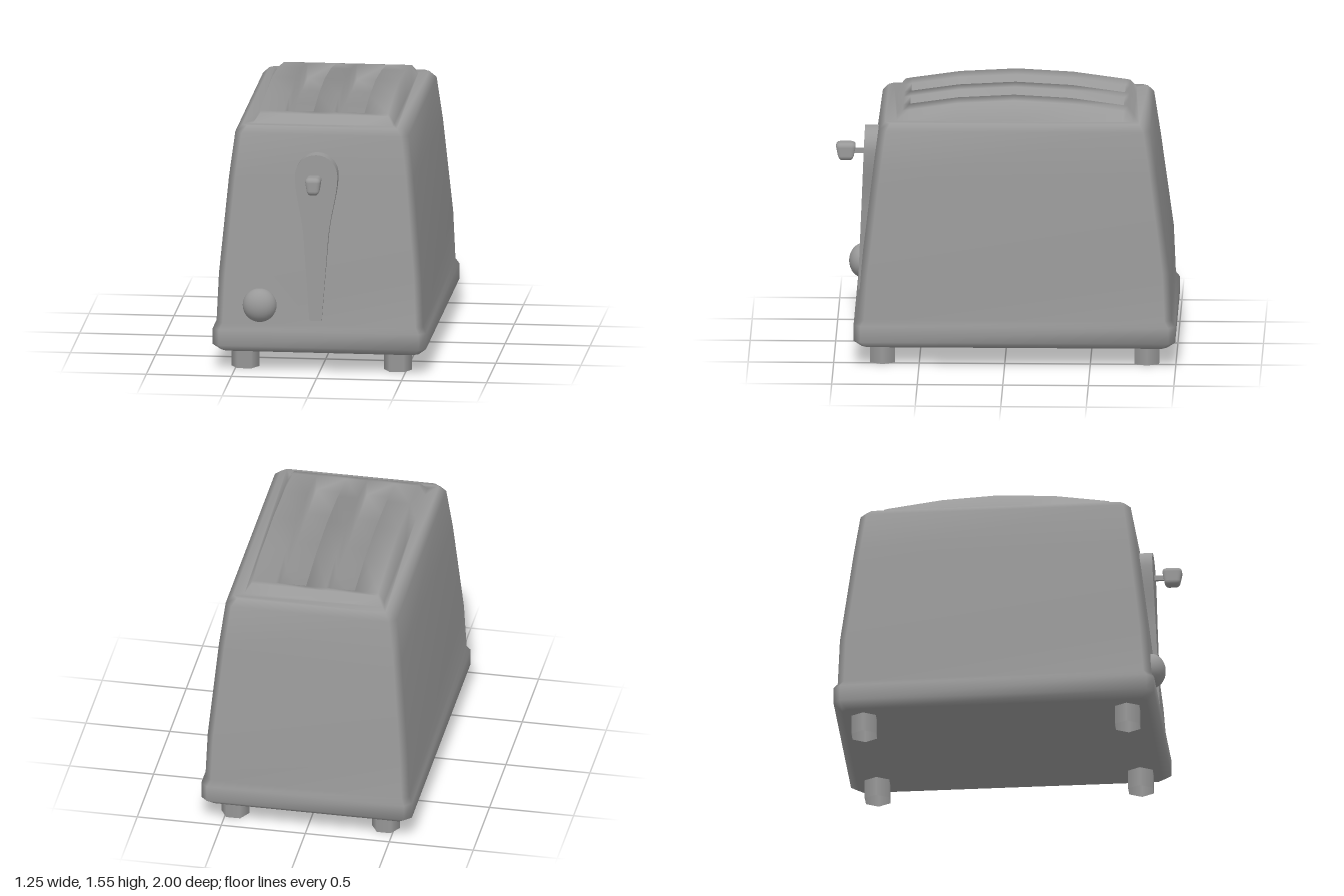
import * as THREE from 'three';
import { mergeVertices, toCreasedNormals } from 'three/addons/utils/BufferGeometryUtils.js';
import { RoundedBoxGeometry } from 'three/addons/geometries/RoundedBoxGeometry.js';

const material = new THREE.MeshStandardMaterial({ color: 0x999999 });
const openMaterial = new THREE.MeshStandardMaterial({ color: 0x999999, side: THREE.DoubleSide });

// Collects faces (corners counter-clockwise from outside) into one smooth geometry.
class FaceBuilder {
  constructor() { this.positions = []; }
  tri(a, b, c) {
    const [p, q, r] = [a, b, c].map((v) => new THREE.Vector3(...v));
    if (new THREE.Triangle(p, q, r).getArea() > 1e-7) this.positions.push(...a, ...b, ...c);
  }
  quad(a, b, c, d) { this.tri(a, b, c); this.tri(a, c, d); }
  build() {
    const g = new THREE.BufferGeometry();
    g.setAttribute('position', new THREE.Float32BufferAttribute(this.positions, 3));
    const smooth = mergeVertices(g);
    smooth.computeVertexNormals();
    return smooth;
  }
}

function addMesh(parent, name, geometry, mat = material) {
  const mesh = new THREE.Mesh(geometry, mat);
  mesh.name = name;
  parent.add(mesh);
  return mesh;
}

// Rectangle with cut corners at height y, counter-clockwise from above.
function ring([y, hx, zBack, zFront, c]) {
  return [
    [hx, y, zFront - c], [hx, y, zBack + c], [hx - c, y, zBack], [-hx + c, y, zBack],
    [-hx, y, zBack + c], [-hx, y, zFront - c], [-hx + c, y, zFront], [hx - c, y, zFront],
  ];
}

// Tapered wall: height, half width, back, front, corner cut. Returns the top ring.
function addWalls(faces) {
  const rings = [
    [0.115, 0, -0.06, -0.06, 0],
    [0.115, 0.58, -0.95, 0.835, 0.03],
    [0.155, 0.627, -0.998, 0.882, 0.04],
    [0.25, 0.627, -0.998, 0.882, 0.04],
    [0.285, 0.607, -0.975, 0.86, 0.04],
    [0.57, 0.595, -0.963, 0.838, 0.04],
    [1.14, 0.543, -0.888, 0.77, 0.04],
    [1.40, 0.51, -0.85, 0.735, 0.04],
    [1.44, 0.47, -0.815, 0.70, 0.03],
  ].map(ring);
  for (let r = 0; r < rings.length - 1; r++) {
    for (let i = 0; i < 8; i++) {
      const j = (i + 1) % 8;
      faces.quad(rings[r][i], rings[r][j], rings[r + 1][j], rings[r + 1][i]);
    }
  }
  return rings[rings.length - 1];
}

// Arched lid with two long slots. Returns its foot outline.
function addLid(faces) {
  const xs = [-0.375, -0.235, -0.065, 0.055, 0.235, 0.375];
  const zs = [-0.715, -0.69, -0.38, -0.05, 0.28, 0.56, 0.6];
  const ys = [1.49, 1.495, 1.537, 1.555, 1.537, 1.497, 1.49];
  const base = 1.44, floor = 1.4, nx = xs.length - 1, nz = zs.length - 1;
  const top = (i, k) => [xs[i], ys[k], zs[k]];
  const bottom = (i, k) => [xs[i], floor, zs[k]];
  // The foot flares a little beyond the top edge
  const foot = (i, k) => [
    xs[i] + (i === 0 ? -0.035 : i === nx ? 0.035 : 0), base,
    zs[k] + (k === 0 ? -0.035 : k === nz ? 0.035 : 0),
  ];
  for (let i = 0; i < nx; i++) {
    const slot = i === 1 || i === 3;
    for (let k = 0; k < nz; k++) {
      if (slot && k > 0 && k < nz - 1) {
        // Slot floor and side walls
        faces.quad(bottom(i, k), bottom(i, k + 1), bottom(i + 1, k + 1), bottom(i + 1, k));
        faces.quad(bottom(i, k + 1), bottom(i, k), top(i, k), top(i, k + 1));
        faces.quad(bottom(i + 1, k), bottom(i + 1, k + 1), top(i + 1, k + 1), top(i + 1, k));
      } else {
        faces.quad(top(i, k), top(i, k + 1), top(i + 1, k + 1), top(i + 1, k));
      }
    }
    if (slot) {
      // Slot end walls
      faces.quad(bottom(i, 1), bottom(i + 1, 1), top(i + 1, 1), top(i, 1));
      faces.quad(bottom(i + 1, nz - 1), bottom(i, nz - 1), top(i, nz - 1), top(i + 1, nz - 1));
    }
    // Front and back ends
    faces.quad(foot(i, nz), foot(i + 1, nz), top(i + 1, nz), top(i, nz));
    faces.quad(foot(i + 1, 0), foot(i, 0), top(i, 0), top(i + 1, 0));
  }
  // Long sides
  for (let k = 0; k < nz; k++) {
    faces.quad(foot(nx, k + 1), foot(nx, k), top(nx, k), top(nx, k + 1));
    faces.quad(foot(0, k), foot(0, k + 1), top(0, k + 1), top(0, k));
  }
  const outline = [];
  for (let i = 0; i < nx; i++) outline.push(foot(i, 0));
  for (let k = 0; k < nz; k++) outline.push(foot(nx, k));
  for (let i = nx; i > 0; i--) outline.push(foot(i, nz));
  for (let k = nz; k > 0; k--) outline.push(foot(0, k));
  return outline;
}

// One smooth shell: walls, lid and the flat shoulder joining them
function shellGeometry() {
  const faces = new FaceBuilder();
  const outer = addWalls(faces);
  const inner = addLid(faces);
  const flat = (points) => points.map(([x, , z]) => new THREE.Vector2(x, -z));
  const points = [...outer, ...inner];
  for (const [a, b, c] of THREE.ShapeUtils.triangulateShape(flat(outer), [flat(inner)])) {
    const upward = THREE.ShapeUtils.area(flat([points[a], points[b], points[c]])) > 0;
    if (upward) faces.tri(points[a], points[b], points[c]);
    else faces.tri(points[a], points[c], points[b]);
  }
  return faces.build();
}

// Teardrop plate, leaning back with the front wall
function plateGeometry() {
  const cx = -0.02;
  const shape = new THREE.Shape();
  shape.moveTo(cx + 0.036, 0.315);
  shape.lineTo(cx + 0.073, 0.82);
  shape.bezierCurveTo(cx + 0.09, 0.98, cx + 0.125, 1.06, cx + 0.125, 1.175);
  shape.absarc(cx, 1.175, 0.125, 0, Math.PI, false);
  shape.bezierCurveTo(cx - 0.125, 1.06, cx - 0.09, 0.98, cx - 0.073, 0.82);
  shape.lineTo(cx - 0.036, 0.315);
  shape.closePath();
  const g = new THREE.ExtrudeGeometry(shape, { depth: 0.12, bevelEnabled: false, curveSegments: 10 });
  const p = g.attributes.position;
  for (let i = 0; i < p.count; i++) {
    p.setZ(i, p.getZ(i) + 0.75 - (p.getY(i) - 0.315) * 0.042);
  }
  return toCreasedNormals(g, 0.6);
}

// Rounded grip, narrowing downwards
function gripGeometry() {
  const g = new RoundedBoxGeometry(0.094, 0.108, 0.12, 4, 0.028);
  const p = g.attributes.position;
  for (let i = 0; i < p.count; i++) {
    const s = 1 - 0.35 * Math.max(0, 0.4 - p.getY(i) / 0.108);
    p.setX(i, p.getX(i) * s);
    p.setZ(i, p.getZ(i) * s);
  }
  return g;
}

export function createModel() {
  const model = new THREE.Group();
  model.name = 'toaster';

  addMesh(model, 'body', shellGeometry());
  addMesh(model, 'leverPlate', plateGeometry());

  // Lever: thin stem and rounded grip
  const lever = new THREE.Group();
  lever.name = 'lever';
  model.add(lever);
  const stem = addMesh(lever, 'leverStem', new THREE.BoxGeometry(0.015, 0.03, 0.11));
  stem.position.set(-0.025, 1.145, 0.86);
  const grip = addMesh(lever, 'leverGrip', gripGeometry());
  grip.position.set(-0.025, 1.143, 0.941);

  // Browning dial
  const dial = addMesh(model, 'dial', new THREE.SphereGeometry(0.1, 24, 16));
  dial.scale.z = 0.8;
  dial.position.set(-0.35, 0.397, 0.85);

  // Hollow six-sided feet
  for (const x of [-0.448, 0.448]) {
    for (const z of [0.715, -0.83]) {
      const geometry = new THREE.CylinderGeometry(0.083, 0.083, 0.13, 6, 1, true);
      geometry.rotateY(Math.PI / 6);
      const foot = addMesh(model, 'foot', geometry, openMaterial);
      foot.position.set(x, 0.065, z);
    }
  }
  return model;
}
